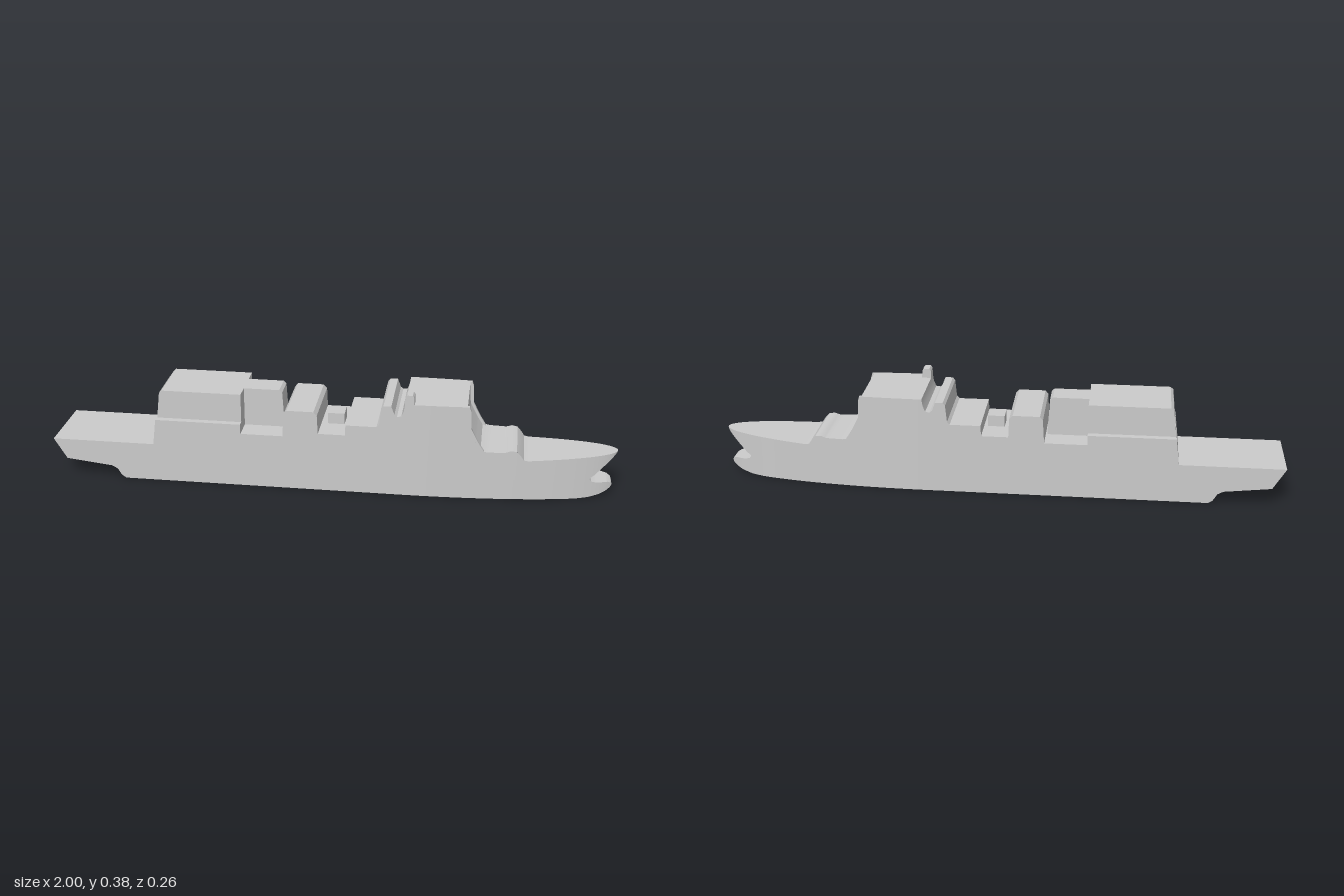
import * as THREE from 'three';
import { toCreasedNormals } from 'three/addons/utils/BufferGeometryUtils.js';

const BEAM = 0.128;
// Plan outline: parallel sides that close in an elliptical bow
const halfWidth = x => x <= 0.25 ? BEAM : BEAM * Math.sqrt(Math.max(0, 1 - ((x - 0.25) / 0.75) ** 2));

// Height of a left-to-right polyline at x
function heightAt(line, x) {
  for (let i = 1; i < line.length; i++) {
    const [ax, ay] = line[i - 1], [bx, by] = line[i];
    if (x >= ax && x <= bx && bx > ax) return ay + (by - ay) * (x - ax) / (bx - ax);
  }
  return line[line.length - 1][1];
}

// Solid between a top and a bottom line, with side walls following zMax(x) and zMin(x)
function slab(top, bottom, zMax, zMin = x => -zMax(x)) {
  const x0 = top[0][0], x1 = top[top.length - 1][0];
  const stations = Array.from({ length: 41 }, (_, i) => 0.25 + 0.75 * Math.sin(i / 40 * Math.PI / 2));
  const xs = [...new Set([...top, ...bottom].map(p => p[0]).concat(stations))]
    .filter(x => x >= x0 && x <= x1).sort((a, b) => a - b);
  const pos = [];
  const quad = (a, b, c, d) => pos.push(...a, ...b, ...c, ...a, ...c, ...d);

  // Decks, end walls and keel
  const loop = [...top, ...[...bottom].reverse()];
  loop.forEach((a, i) => {
    const b = loop[(i + 1) % loop.length];
    if (a[0] === b[0] && a[1] === b[1]) return;
    const cuts = xs.filter(x => x > Math.min(a[0], b[0]) && x < Math.max(a[0], b[0]));
    if (b[0] < a[0]) cuts.reverse();
    const pts = [a, ...cuts.map(x => [x, a[1] + (b[1] - a[1]) * (x - a[0]) / (b[0] - a[0])]), b];
    for (let k = 1; k < pts.length; k++) {
      const [px, py] = pts[k - 1], [qx, qy] = pts[k];
      quad([px, py, zMax(px)], [qx, qy, zMax(qx)], [qx, qy, zMin(qx)], [px, py, zMin(px)]);
    }
  });

  // Side walls, column by column
  for (let i = 1; i < xs.length; i++) {
    const a = xs[i - 1], b = xs[i], e = (b - a) * 1e-4;
    const la = heightAt(bottom, a + e), lb = heightAt(bottom, b - e);
    const ha = heightAt(top, a + e), hb = heightAt(top, b - e);
    quad([a, la, zMax(a)], [b, lb, zMax(b)], [b, hb, zMax(b)], [a, ha, zMax(a)]);
    quad([b, lb, zMin(b)], [a, la, zMin(a)], [a, ha, zMin(a)], [b, hb, zMin(b)]);
  }
  const g = new THREE.BufferGeometry();
  g.setAttribute('position', new THREE.Float32BufferAttribute(pos, 3));
  return toCreasedNormals(g, 0.5);
}

export function createModel() {
  const ship = new THREE.Group();
  ship.name = 'ship';
  const material = new THREE.MeshStandardMaterial({ color: 0xcccccc });
  const add = (name, geometry) => {
    const mesh = new THREE.Mesh(geometry, material);
    mesh.name = name;
    ship.add(mesh);
  };

  // Hull with the full-width deck steps and bridge
  const deckLine = [
    [-1, 0.14], [-0.632, 0.14], [-0.62, 0.235], [-0.315, 0.235], [-0.315, 0.2],
    [-0.165, 0.2], [-0.16, 0.285], [-0.15, 0.298], [-0.055, 0.298], [-0.043, 0.285],
    [-0.04, 0.217], [0.055, 0.217], [0.057, 0.255], [0.165, 0.255], [0.174, 0.265],
    [0.18, 0.325], [0.188, 0.335], [0.215, 0.335], [0.226, 0.305], [0.235, 0.298],
    [0.25, 0.3], [0.258, 0.32], [0.262, 0.345], [0.475, 0.345], [0.479, 0.265],
    [0.505, 0.215], [0.525, 0.183], [0.55, 0.178], [0.61, 0.178], [0.63, 0.185],
    [0.65, 0.182], [0.665, 0.165], [0.675, 0.15], [0.69, 0.147], [1, 0.162],
  ];
  const keelLine = [
    [-1, 0.14], [-0.955, 0.065], [-0.79, 0.046], [-0.77, 0.035], [-0.755, 0.01], [-0.74, 0],
    [0.86, 0], [0.905, 0.003], [0.905, 0.075], [0.92, 0.085], [1, 0.162],
  ];
  add('hull', slab(deckLine, keelLine, halfWidth));

  // Rounded bulb under the bow notch
  add('bowBulb', slab(
    [[0.905, 0.072], [0.912, 0.063], [0.93, 0.057], [0.97, 0.054], [0.982, 0.048], [0.986, 0.04]],
    [[0.905, 0.003], [0.94, 0.01], [0.965, 0.02], [0.98, 0.03], [0.986, 0.04]], halfWidth));

  // Thin side fins framing the bridge front
  const finTop = [[0.465, 0.345], [0.482, 0.345], [0.487, 0.33], [0.49, 0.265], [0.515, 0.215], [0.537, 0.18]];
  const finBottom = [[0.465, 0.17], [0.537, 0.17]];
  const finInner = x => halfWidth(x) - 0.012;
  add('leftBridgeFin', slab(finTop, finBottom, halfWidth, finInner));
  add('rightBridgeFin', slab(finTop, finBottom, x => -finInner(x), x => -halfWidth(x)));

  // Hangar set in from the sides, and its narrower forward house
  add('hangar', slab(
    [[-0.619, 0.23], [-0.607, 0.33], [-0.597, 0.339], [-0.315, 0.339]],
    [[-0.619, 0.23], [-0.315, 0.2]], () => 0.105));
  add('forwardHouse', slab(
    [[-0.32, 0.339], [-0.188, 0.339], [-0.178, 0.33], [-0.17, 0.2]],
    [[-0.32, 0.195], [-0.17, 0.195]], () => 0.045));

  // Midships hatch
  const hatch = new THREE.BoxGeometry(0.06, 0.05, 0.066);
  add('midshipsHatch', hatch.translate(0.012, 0.232, 0));

  // Funnel at the left edge of the bridge roof
  add('funnel', slab(
    [[0.262, 0.37], [0.268, 0.379], [0.288, 0.379], [0.293, 0.372], [0.295, 0.34]],
    [[0.262, 0.34], [0.295, 0.34]], () => BEAM, () => 0.087));

  return ship;
}
